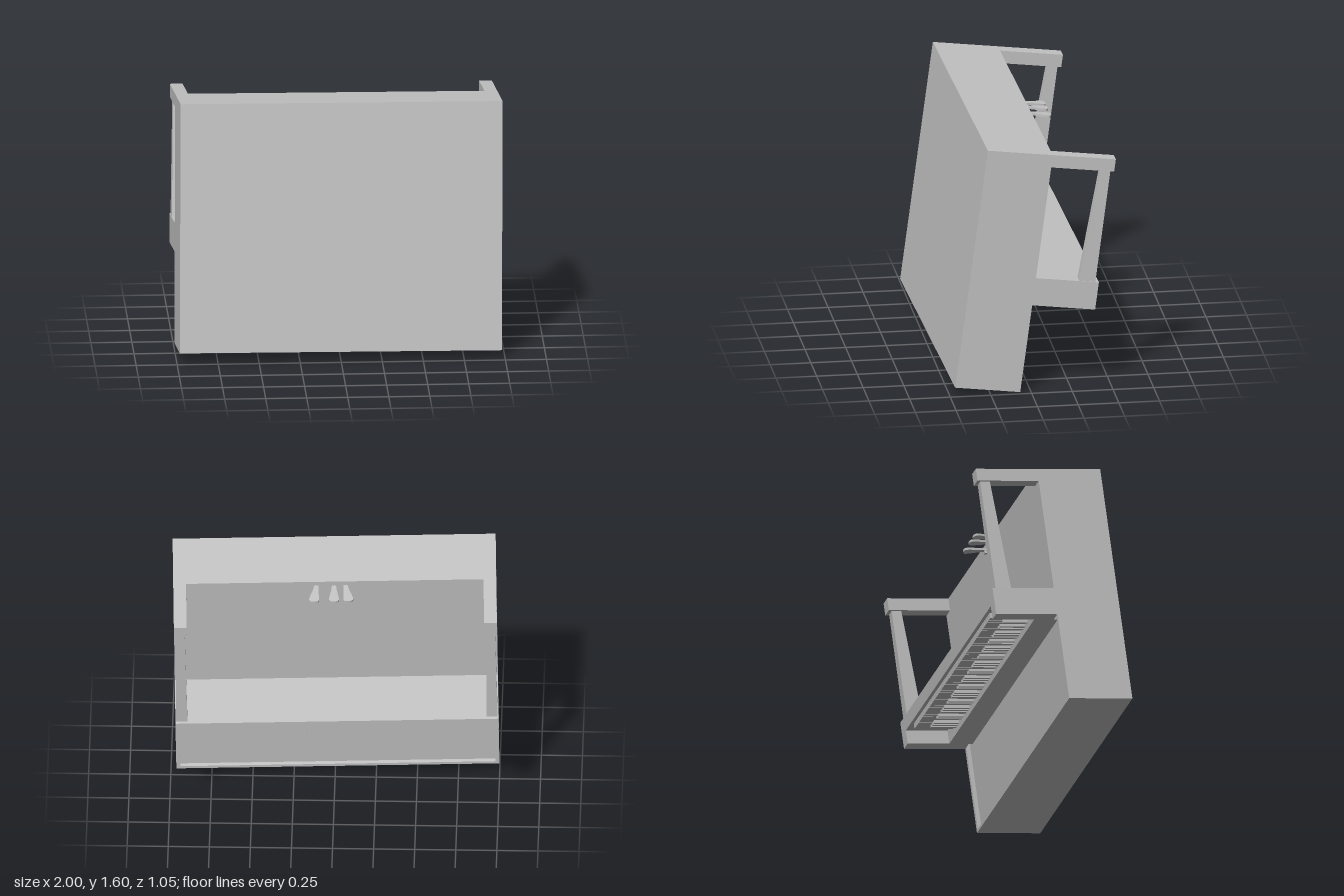
import * as THREE from 'three';

// An upright piano lying upside down and slightly tilted: local y runs from its lid to its feet.
export function createModel() {
  const grey = new THREE.MeshStandardMaterial({ color: 0xc4c4c4 });
  grey.name = 'plainGrey';
  const root = new THREE.Group();
  root.name = 'overturnedPiano';
  const piano = new THREE.Group();
  piano.name = 'piano';
  root.add(piano);

  const add = (name, geometry, parent = piano) => {
    const mesh = new THREE.Mesh(geometry, grey);
    mesh.name = name;
    parent.add(mesh);
    return mesh;
  };
  // Box given by its limits on each axis
  const box = (name, x0, x1, y0, y1, z0, z1, parent) => {
    const mesh = add(name, new THREE.BoxGeometry(x1 - x0, y1 - y0, z1 - z0), parent);
    mesh.position.set((x0 + x1) / 2, (y0 + y1) / 2, (z0 + z1) / 2);
    return mesh;
  };

  const W = 0.983, H = 1.535, D = -0.405, F = -0.797;

  // Case with a framed, recessed panel beyond the keyboard
  box('caseBody', -W, W, 0, H, -0.38, 0);
  box('kneePanel', -W, W, 0.65, H, D, -0.38);
  box('lidLip', -W, W, 0, 0.018, D, -0.38);

  // Keybed and the fall board behind the keys
  box('keybed', -W, W, 0.65, 0.738, F, D);
  box('fallBoard', -0.905, 0.905, 0.562, 0.65, -0.53, -0.38);

  for (const s of [-1, 1]) {
    const side = new THREE.Group();
    side.name = s > 0 ? 'leftSide' : 'rightSide';
    piano.add(side);
    const sideBox = (name, x0, x1, ...rest) =>
      box(name, Math.min(s * x0, s * x1), Math.max(s * x0, s * x1), ...rest, side);
    sideBox('panelStile', W - 0.025, W, 0.018, 0.65, D, -0.38);
    sideBox('keyCheek', 0.905, W, 0.562, 0.65, F, D);
    sideBox('footRail', 0.905, W, 1.455, H, F, D);

    // Tapered front leg, thicker where it meets the keybed
    const leg = new THREE.BoxGeometry(1, 1, 1);
    const p = leg.attributes.position;
    for (let i = 0; i < p.count; i++) {
      const atFoot = p.getY(i) > 0;
      const half = atFoot ? 0.026 : 0.034;
      const inner = atFoot ? -0.714 : -0.676;
      p.setXYZ(i, s * 0.944 + Math.sign(p.getX(i)) * half, atFoot ? 1.457 : 0.736,
        p.getZ(i) > 0 ? inner : -0.776);
    }
    leg.computeVertexNormals();
    add('frontLeg', leg, side);
  }

  // Keyboard: 52 wide keys with 36 narrow keys between them
  const keys = new THREE.Group();
  keys.name = 'keyboard';
  piano.add(keys);
  const pitch = 1.62 / 52;
  for (let i = 0; i < 52; i++) {
    const x = -0.81 + i * pitch;
    box('wideKey', x + 0.0015, x + pitch - 0.0015, 0.615, 0.652, -0.775, -0.53, keys);
    const note = i % 7; // starts on A; no narrow key after B and E
    if (i < 51 && note !== 1 && note !== 4) {
      box('narrowKey', x + pitch - 0.008, x + pitch + 0.008, 0.597, 0.62, -0.69, -0.53, keys);
    }
  }

  // Pedals: narrow stem flaring to a rounded tip
  const outline = new THREE.Shape();
  outline.moveTo(-0.013, 0);
  outline.bezierCurveTo(-0.013, 0.05, -0.03, 0.09, -0.03, 0.128);
  outline.bezierCurveTo(-0.028, 0.149, 0.028, 0.149, 0.03, 0.128);
  outline.bezierCurveTo(0.03, 0.09, 0.013, 0.05, 0.013, 0);
  outline.closePath();
  for (const [x, turn] of [[-0.065, -0.13], [0.005, 0.01], [0.112, 0.13]]) {
    const pedal = new THREE.Group();
    pedal.name = 'pedal';
    pedal.position.set(x, 1.49, D);
    pedal.rotation.y = -turn;
    piano.add(pedal);
    const plate = add('pedalPlate',
      new THREE.ExtrudeGeometry(outline, { depth: 0.014, bevelEnabled: false, curveSegments: 6 }), pedal);
    plate.rotation.x = -Math.PI / 2;
    box('pedalStem', -0.013, 0.013, -0.02, 0.014, -0.015, 0.01, pedal);
  }

  // Tilt of the whole instrument
  piano.rotation.set(-0.1296, 0.0305, -0.0098);
  piano.position.set(-0.0025, 0.066, 0.4955);
  return root;
}
